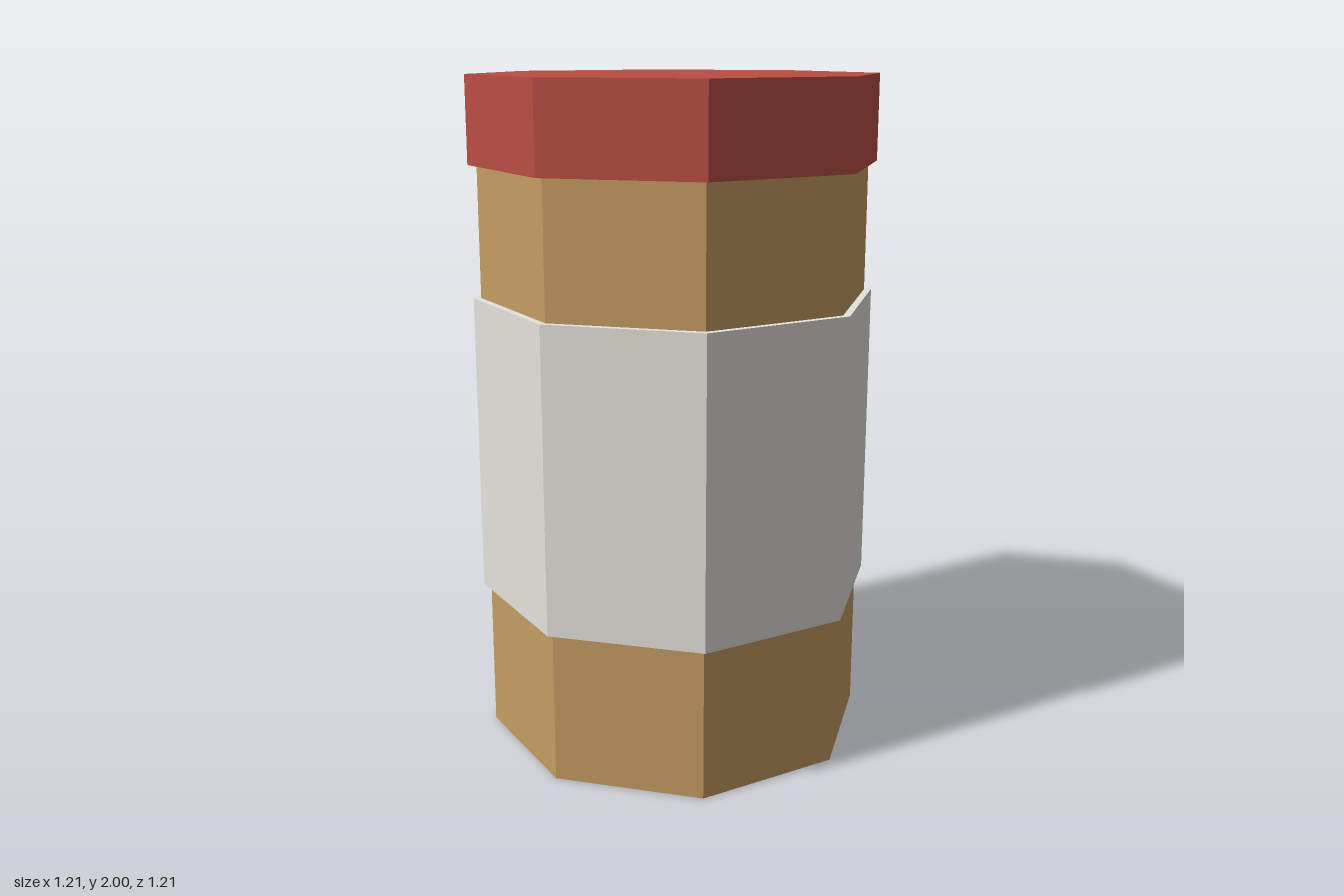
import * as THREE from 'three';

const SIDES = 8;

function material(name, color) {
  const m = new THREE.MeshStandardMaterial({ color });
  m.name = name;
  m.flatShading = true;
  return m;
}

// Upright octagonal prism with corners on the x and z axes
function prism(name, radius, bottom, top, mat) {
  const geometry = new THREE.CylinderGeometry(radius, radius, top - bottom, SIDES);
  const mesh = new THREE.Mesh(geometry, mat);
  mesh.name = name;
  mesh.position.y = (bottom + top) / 2;
  return mesh;
}

export function createModel() {
  const jar = new THREE.Group();
  jar.name = 'jar';

  jar.add(
    // Container body
    prism('body', 0.58, 0, 1.745, material('tan', 0xc49c64)),
    // Wrapped label band
    prism('label', 0.602, 0.457, 1.357, material('offWhite', 0xe4e2dc)),
    // Screw lid
    prism('lid', 0.606, 1.745, 2, material('red', 0xb94e43)),
  );
  return jar;
}
